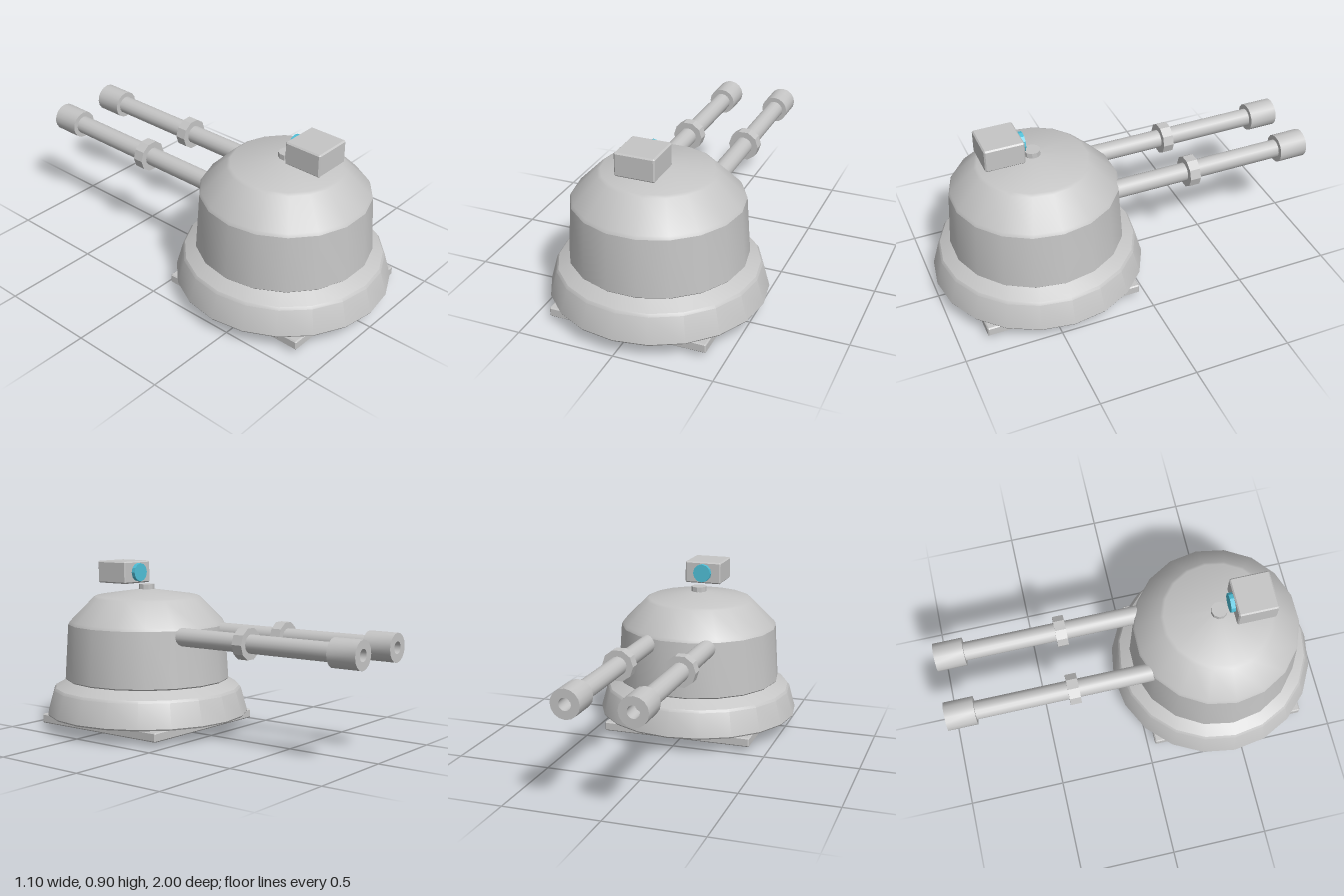
import * as THREE from 'three';
import { toCreasedNormals } from 'three/addons/utils/BufferGeometryUtils.js';
import { ConvexGeometry } from 'three/addons/geometries/ConvexGeometry.js';

const CZ = 0.447; // z of the turret axis

export function createModel() {
  const root = new THREE.Group();
  const grey = new THREE.MeshStandardMaterial({ name: 'grey metal', color: 0xc5c5c5 });
  const teal = new THREE.MeshStandardMaterial({ name: 'teal glass', color: 0x50c0d8 });

  const add = (name, geometry, x = 0, y = 0, z = 0, material = grey, parent = root) => {
    const mesh = new THREE.Mesh(geometry, material);
    mesh.name = name;
    mesh.position.set(x, y, z);
    parent.add(mesh);
    return mesh;
  };
  // Turned part: [radius, height] pairs from bottom to top, with crisp rims
  const turned = (points, sides) => toCreasedNormals(
    new THREE.LatheGeometry(points.map(([r, h]) => new THREE.Vector2(r, h)), sides), 0.4);
  // Turned part lying down, with its height running towards -z and a corner on x
  const lying = (points, sides) => turned(points, sides).rotateY(Math.PI / 2).rotateX(-Math.PI / 2);
  const tube = (r, from, to) => [[0, from], [r, from], [r, to], [0, to]];
  // Box with all edges chamfered by b
  const chamferedBox = (w, h, d, b) => {
    const points = [];
    for (const sx of [-0.5, 0.5]) for (const sy of [-0.5, 0.5]) for (const sz of [-0.5, 0.5]) {
      const corner = new THREE.Vector3(sx * w, sy * h, sz * d);
      const inset = new THREE.Vector3(sx, sy, sz).multiplyScalar(-2 * b);
      for (const axis of ['x', 'y', 'z']) {
        const point = corner.clone().add(inset);
        point[axis] = corner[axis];
        points.push(point);
      }
    }
    return new ConvexGeometry(points);
  };

  // Mounting plate with a shallow lower slab, a riser and four feet
  add('mountingPlate', chamferedBox(0.817, 0.05, 0.817, 0.006), 0, 0.052, CZ);
  add('lowerSlab', new THREE.BoxGeometry(0.7, 0.02, 0.7), 0, 0.033, CZ);
  add('plateRiser', turned(tube(0.36, 0.07, 0.09), 20), 0, 0, CZ);
  for (const sx of [-1, 1]) for (const sz of [-1, 1]) {
    add('foot', turned(tube(0.032, 0, 0.03), 8), sx * 0.245, 0, CZ + sz * 0.245);
  }

  // Flared skirt
  add('skirt', turned([
    [0, 0.08], [0.545, 0.08], [0.55, 0.088], [0.515, 0.215], [0.505, 0.228], [0.42, 0.275], [0, 0.275],
  ], 20), 0, 0, CZ);

  // Rotating dome with a shallow conical roof, corners on the x axis
  add('dome', turned([
    [0, 0.268], [0.442, 0.268], [0.449, 0.275], [0.43, 0.57], [0.421, 0.586],
    [0.295, 0.712], [0.278, 0.721], [0.04, 0.756], [0, 0.756],
  ], 18).rotateY(Math.PI / 2), 0, 0, CZ);

  // Neck and sensor head
  add('neck', turned(tube(0.042, 0.74, 0.783), 10), 0, 0, CZ);
  add('sensorHead', chamferedBox(0.204, 0.12, 0.204, 0.007), 0, 0.844, 0.614);
  add('sensorLens', lying(tube(0.05, -0.01, 0.025), 12), 0, 0.844, 0.515, teal);

  // Twin guns
  for (const side of [-1, 1]) {
    const gun = new THREE.Group();
    gun.name = side > 0 ? 'leftGun' : 'rightGun';
    gun.position.set(side * 0.162, 0.536, 0);
    root.add(gun);
    add('barrel', lying(tube(0.048, -0.2, 0.86), 16), 0, 0, 0, grey, gun);
    add('collar', lying(tube(0.082, 0.315, 0.372), 10), 0, 0, 0, grey, gun);
    add('muzzle', lying([
      [0, 0.848], [0.073, 0.848], [0.073, 1], [0.031, 1], [0.031, 0.9], [0, 0.9],
    ], 16), 0, 0, 0, grey, gun);
  }
  return root;
}
